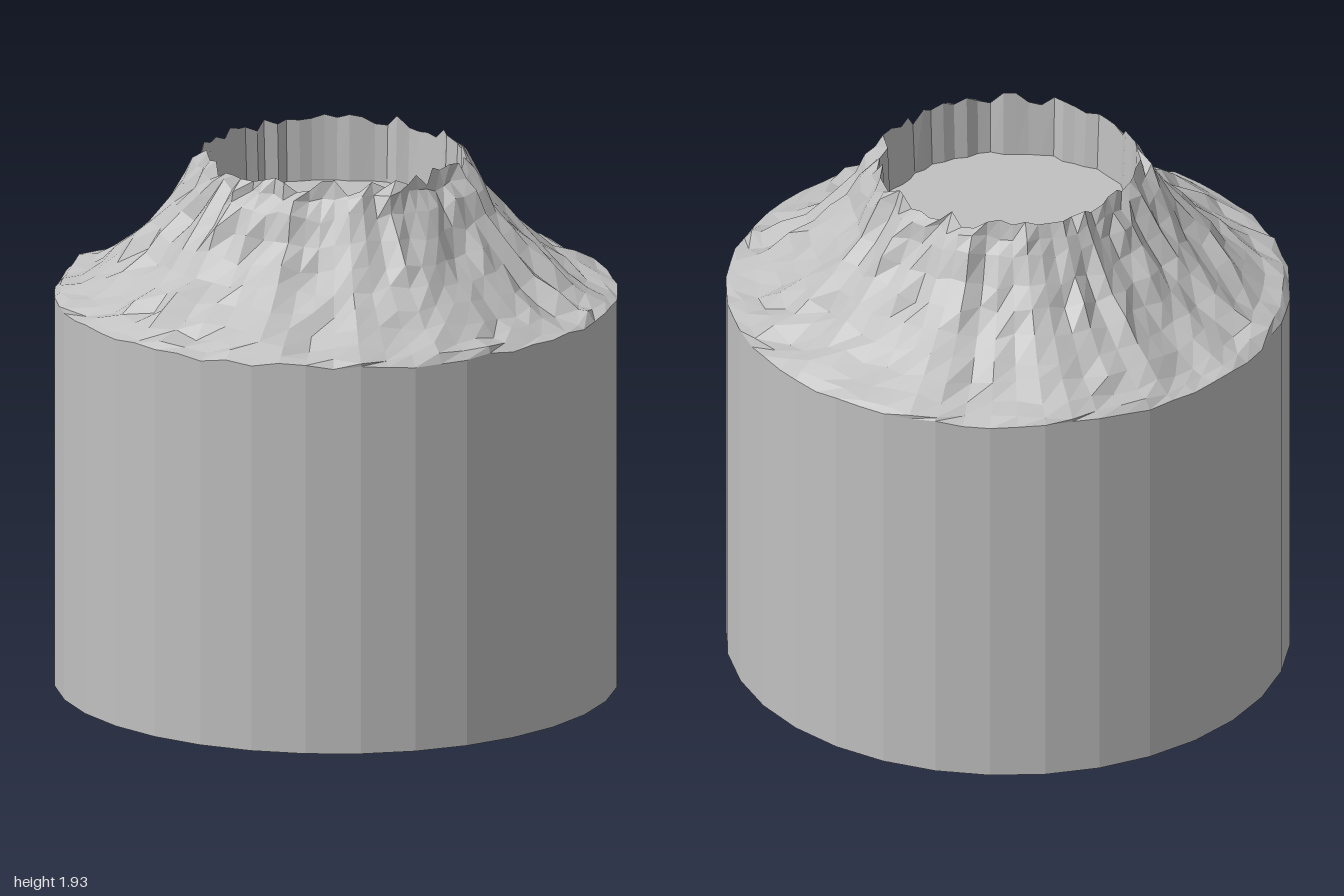
import * as THREE from 'three';

const SEGMENTS = 64; // columns on the slope; the wall below has half as many
const WALL_RADIUS = 0.985;

function seeded(seed) {
  return () => {
    seed = (seed * 1664525 + 1013904223) % 4294967296;
    return seed / 2147483648 - 1; // -1 to 1
  };
}

// One closed ring of points; at(i) gives [radius, height] of column i
function ring(count, at) {
  return Array.from({ length: count }, (_, i) => {
    const a = (i / count) * Math.PI * 2;
    const [r, y] = at(i);
    return [r * Math.sin(a), y, r * Math.cos(a)];
  });
}

// Faceted skin between consecutive rings
function skin(rings) {
  const positions = [];
  for (let k = 0; k < rings.length - 1; k++) {
    const low = rings[k], high = rings[k + 1], n = low.length;
    for (let i = 0; i < n; i++) {
      const j = (i + 1) % n;
      for (const p of [low[i], low[j], high[j], low[i], high[j], high[i]]) positions.push(...p);
    }
  }
  const geometry = new THREE.BufferGeometry();
  geometry.setAttribute('position', new THREE.Float32BufferAttribute(positions, 3));
  geometry.computeVertexNormals();
  return geometry;
}

export function createModel() {
  const group = new THREE.Group();
  const stone = new THREE.MeshStandardMaterial({ color: 0xc0c0c0 });
  stone.name = 'grey stone';
  const add = (name, geometry) => {
    const mesh = new THREE.Mesh(geometry, stone);
    mesh.name = name;
    group.add(mesh);
  };
  const rand = seeded(41);

  // Top edge of the wall, gently uneven, on a 32-sided outline
  const edge = ring(SEGMENTS, (i) => [
    WALL_RADIUS * (i % 2 ? Math.cos(Math.PI / 32) : 1), 1.395 + rand() * 0.01,
  ]);
  const bottom = edge.map(([x, , z]) => [x, 0, z]);

  // Ridges run down the slope, with rough blocks on top of them
  const ridge = Array.from({ length: SEGMENTS }, () => rand() * 0.018);
  const profile = [
    [0.955, 1.415], [0.89, 1.435], [0.82, 1.475], [0.75, 1.525], [0.68, 1.585],
    [0.62, 1.65], [0.56, 1.725], [0.51, 1.805], [0.475, 1.86],
  ];
  const slope = profile.map(([r, y], k) => ring(SEGMENTS, (i) => [
    Math.min(1, r + ridge[i] + rand() * 0.017),
    y + ridge[i] * (k ? 0.6 : 0.3) + rand() * 0.014,
  ]));

  // Jagged rim and the steep crater inside it
  const rim = ring(SEGMENTS, (i) => [0.452 + ridge[i] * 0.5 + rand() * 0.012, 1.9 + rand() * 0.028]);
  const floorEdge = rim.map(([x, , z]) => [x * 0.98, 1.68, z * 0.98]);
  const centre = (y) => ring(SEGMENTS, () => [0, y]);

  add('underside', skin([centre(0), bottom]));
  add('baseWall', skin([bottom, edge]));
  add('rockySlope', skin([edge, ...slope, rim]));
  add('craterWall', skin([rim, floorEdge]));
  add('craterFloor', skin([floorEdge, centre(1.68)]));
  return group;
}
